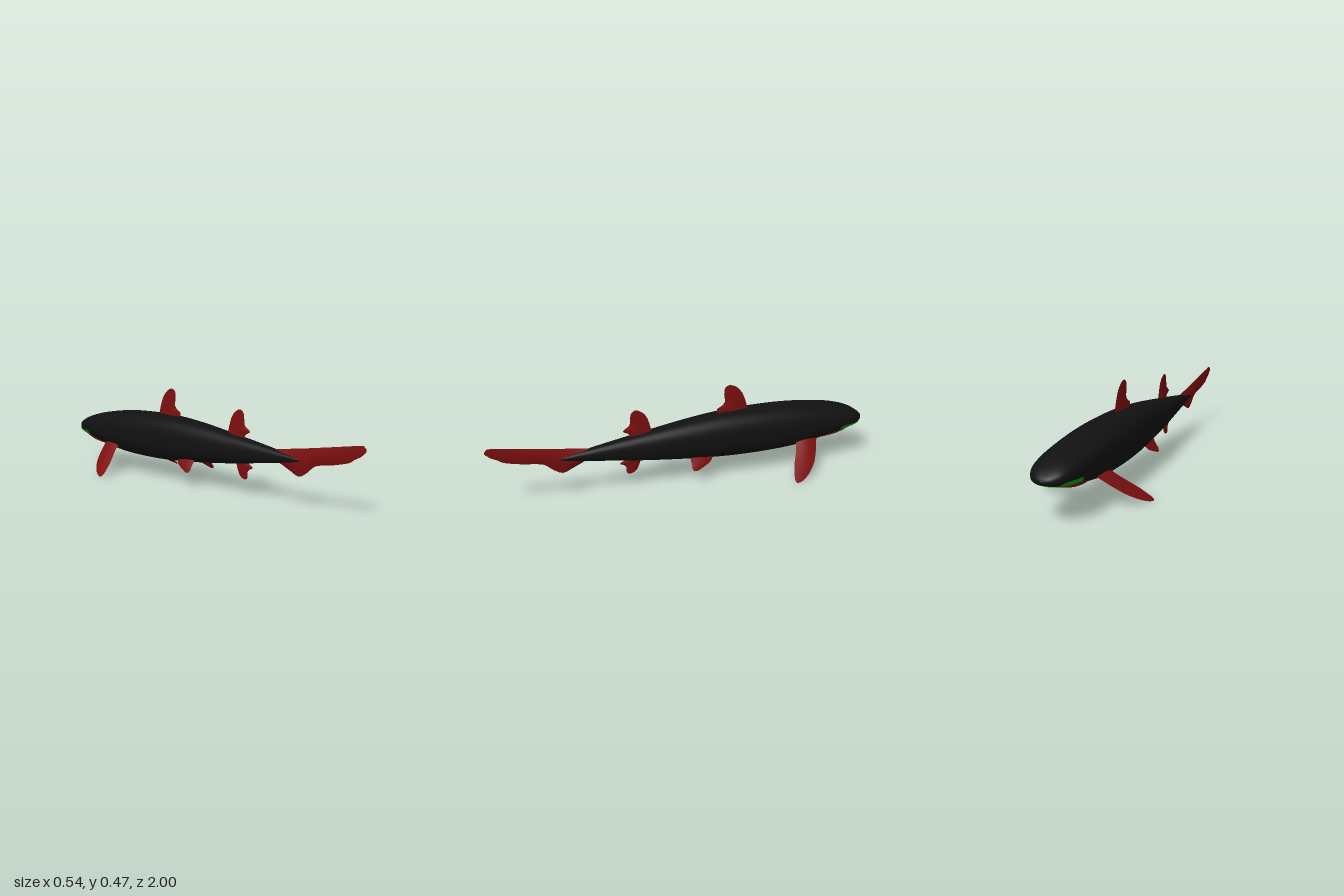
import * as THREE from 'three';
import { mergeGeometries, mergeVertices } from 'three/addons/utils/BufferGeometryUtils.js';
import { ParametricGeometry } from 'three/addons/geometries/ParametricGeometry.js';

const skin = new THREE.MeshStandardMaterial({ name: 'black skin', color: 0x111111 });
const finRed = new THREE.MeshStandardMaterial({ name: 'dark red', color: 0x7c0f0f, side: THREE.DoubleSide });
const lipGreen = new THREE.MeshStandardMaterial({ name: 'green lips', color: 0x0f9a18, side: THREE.DoubleSide });

// Smooth lookup through rows sorted by their first column
function lookup(rows, s) {
  const last = rows.length - 1;
  s = THREE.MathUtils.clamp(s, rows[0][0], rows[last][0]);
  let i = 0;
  while (i < last - 1 && s > rows[i + 1][0]) i++;
  const slope = (k, c) => {
    const a = rows[Math.max(k - 1, 0)], b = rows[Math.min(k + 1, last)];
    return (b[c] - a[c]) / (b[0] - a[0]);
  };
  const p = rows[i], q = rows[i + 1], d = q[0] - p[0], t = (s - p[0]) / d;
  const t2 = t * t, t3 = t2 * t;
  return p.map((_, c) => c === 0 ? s :
    (2 * t3 - 3 * t2 + 1) * p[c] + (t3 - 2 * t2 + t) * d * slope(i, c) +
    (3 * t2 - 2 * t3) * q[c] + (t3 - t2) * d * slope(i + 1, c));
}

function surface(fn, nu, nv) {
  let g = new ParametricGeometry(fn, nu, nv);
  g.deleteAttribute('uv');
  g.deleteAttribute('normal');
  g = mergeVertices(g, 1e-5);
  g.computeVertexNormals();
  return g;
}

function named(name, geometry, material) {
  const mesh = new THREE.Mesh(geometry, material);
  mesh.name = name;
  return mesh;
}

// Body stations: z, half width, top, bottom
const stations = [
  [-1, 0, 0.202, 0.202], [-0.995, 0.027, 0.215, 0.192], [-0.98, 0.053, 0.23, 0.183],
  [-0.95, 0.08, 0.249, 0.173], [-0.9, 0.098, 0.27, 0.161], [-0.8, 0.109, 0.296, 0.136],
  [-0.6, 0.115, 0.324, 0.102], [-0.4, 0.113, 0.333, 0.093], [-0.2, 0.102, 0.33, 0.097],
  [0, 0.085, 0.312, 0.113], [0.2, 0.063, 0.285, 0.135], [0.4, 0.04, 0.256, 0.163],
  [0.6, 0.017, 0.224, 0.193], [0.69, 0.004, 0.208, 0.202], [0.7, 0, 0.205, 0.205],
];

// Point on the rounded-square body section, lifted outward by lift
function bodyPoint(angle, z, lift, target) {
  const [, w, top, bottom] = lookup(stations, z);
  const c = Math.cos(angle), s = Math.sin(angle);
  const round = (k) => Math.sign(k) * Math.abs(k) ** 0.83;
  target.set((w + lift) * round(c), (top + bottom) / 2 + ((top - bottom) / 2 + lift) * round(s), z);
}

// Fin rows: span, first edge, second edge, half thickness
function fin(name, rows, place, flip = 1) {
  const s0 = rows[0][0], s1 = rows[rows.length - 1][0];
  const sides = [1, -1].map((side) => surface((u, v, target) => {
    const k = side * flip > 0 ? 1 - u : u;
    const [s, a, b, t] = lookup(rows, s0 + (s1 - s0) * v);
    target.copy(place(s, a + (b - a) * k, side * t * Math.sin(Math.PI * k)));
  }, 14, 36));
  return named(name, mergeGeometries(sides), finRed);
}

export function createModel() {
  const model = new THREE.Group();
  model.name = 'shark';

  // Body, with rings gathered at the snout
  model.add(named('body', surface((u, v, p) =>
    bodyPoint(u * 2 * Math.PI, -1 + 1.7 * v * v, 0, p), 64, 64), skin));

  // Mouth: green lips wrapping the underside of the snout
  const rad = THREE.MathUtils.degToRad;
  model.add(named('lips', surface((u, v, p) => {
    const back = -0.825 - 0.02 * Math.abs(2 * u - 1) ** 6;
    const front = -0.962 + 0.015 * Math.abs(2 * u - 1) ** 6;
    bodyPoint(rad(-166 + 152 * u), front + (back - front) * v, 0.003, p);
  }, 40, 20), lipGreen));

  // Lower jaw: slightly domed oval inside the lips
  model.add(named('lowerJaw', surface((u, v, p) => {
    const half = 0.087 * Math.sqrt(Math.max(0, 1 - (2 * u - 1) ** 2));
    const dome = 0.004 + 0.007 * Math.sin(Math.PI * u) * Math.sin(Math.PI * v);
    bodyPoint(rad(-148 + 116 * u), -0.828 + half * (2 * v - 1), dome, p);
  }, 32, 20), finRed));

  // Upright fins
  const upright = (s, c, t) => new THREE.Vector3(t, s, c);
  model.add(fin('firstDorsalFin', [
    [0.29, -0.345, -0.19, 0.011], [0.33, -0.333, -0.166, 0.009], [0.35, -0.327, -0.164, 0.008],
    [0.365, -0.323, -0.19, 0.007], [0.385, -0.316, -0.205, 0.006], [0.42, -0.3, -0.201, 0.004],
    [0.45, -0.275, -0.203, 0.002], [0.464, -0.253, -0.212, 0.001], [0.47, -0.236, -0.228, 0],
  ], upright));
  model.add(fin('secondDorsalFin', [
    [0.25, 0.17, 0.3, 0.01], [0.285, 0.185, 0.305, 0.008], [0.302, 0.191, 0.334, 0.007],
    [0.316, 0.195, 0.32, 0.006], [0.33, 0.199, 0.301, 0.005], [0.36, 0.21, 0.296, 0.003],
    [0.385, 0.228, 0.292, 0.002], [0.4, 0.25, 0.281, 0.001], [0.405, 0.262, 0.27, 0],
  ], upright));
  model.add(fin('analFin', [
    [0.07, 0.296, 0.308, 0], [0.076, 0.28, 0.318, 0.001], [0.09, 0.266, 0.322, 0.002],
    [0.108, 0.257, 0.322, 0.004], [0.122, 0.251, 0.335, 0.005], [0.133, 0.248, 0.354, 0.006],
    [0.15, 0.243, 0.33, 0.007], [0.19, 0.235, 0.32, 0.009],
  ], upright));

  // Tail fin, running along the length
  model.add(fin('tailFin', [
    [0.46, 0.235, 0.2, 0.006], [0.52, 0.245, 0.182, 0.013], [0.59, 0.255, 0.152, 0.012],
    [0.64, 0.262, 0.134, 0.011], [0.686, 0.269, 0.158, 0.009], [0.73, 0.276, 0.193, 0.008],
    [0.836, 0.293, 0.214, 0.005], [0.92, 0.307, 0.236, 0.003], [0.935, 0.309, 0.248, 0.003],
    [0.97, 0.315, 0.266, 0.002], [0.99, 0.314, 0.282, 0.001], [1, 0.302, 0.292, 0],
  ], (s, c, t) => new THREE.Vector3(t, c, s)));

  // Paired fins: pectoral slopes outward, pelvic hangs steeply
  for (const m of [1, -1]) {
    const side = m > 0 ? 'left' : 'right';
    model.add(fin(side + 'PectoralFin', [
      [0.05, -0.58, -0.72, 0.014], [0.11, -0.567, -0.685, 0.011], [0.15, -0.545, -0.663, 0.009],
      [0.2, -0.513, -0.627, 0.006], [0.24, -0.496, -0.58, 0.003], [0.262, -0.49, -0.542, 0.001],
      [0.272, -0.496, -0.512, 0],
    ], (s, c, t) => new THREE.Vector3(m * (s + 0.63 * t), 0.137 - (s - 0.1) * 0.795 + 0.77 * t, c), m));
    model.add(fin(side + 'PelvicFin', [
      [-0.03, 0.01, -0.13, 0.009], [0, 0.003, -0.12, 0.007], [0.023, 0, -0.108, 0.005],
      [0.035, -0.001, -0.094, 0.004], [0.05, 0.001, -0.064, 0.002], [0.066, -0.008, -0.028, 0],
    ], (s, c, t) => new THREE.Vector3(m * (0.055 + 0.5 * s + 0.87 * t), 0.125 - 0.87 * s + 0.5 * t, c), m));
  }
  return model;
}
